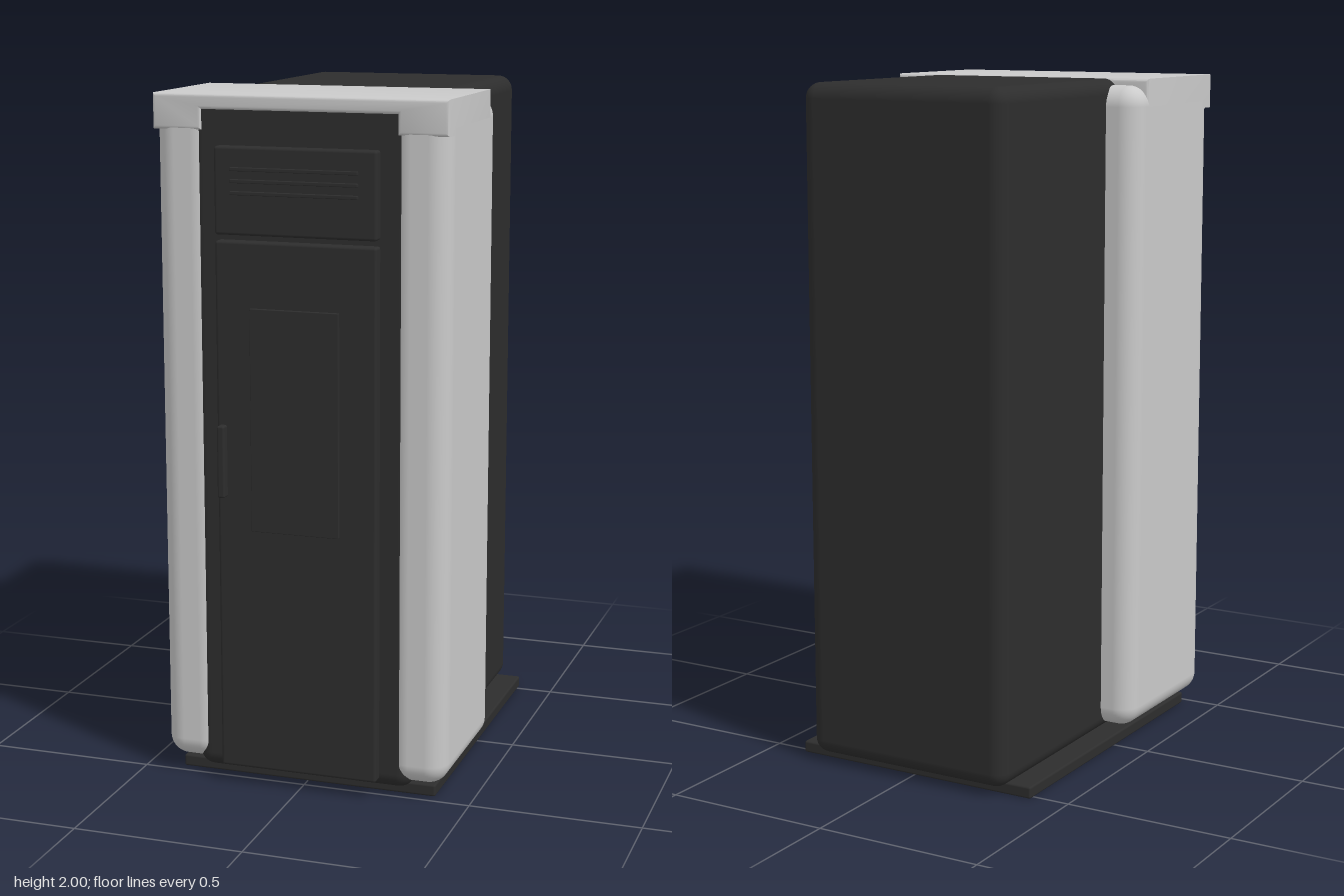
import * as THREE from 'three';
import { RoundedBoxGeometry } from 'three/addons/geometries/RoundedBoxGeometry.js';
import { toCreasedNormals } from 'three/addons/utils/BufferGeometryUtils.js';

export function createModel() {
  const stove = new THREE.Group();
  stove.name = 'stove';
  const black = new THREE.MeshStandardMaterial({ color: 0x2d2d2d });
  black.name = 'black steel';
  const grey = new THREE.MeshStandardMaterial({ color: 0xcacaca });
  grey.name = 'light grey enamel';

  // Rounded box given by its extents on each axis
  function box(name, material, [x0, x1], [y0, y1], [z0, z1], radius, segments = 3) {
    const geometry = new RoundedBoxGeometry(x1 - x0, y1 - y0, z1 - z0, segments, radius);
    const mesh = new THREE.Mesh(geometry, material);
    mesh.position.set((x0 + x1) / 2, (y0 + y1) / 2, (z0 + z1) / 2);
    mesh.name = name;
    stove.add(mesh);
    return mesh;
  }

  // Base plate and main body
  box('basePlate', black, [-0.39, 0.39], [0, 0.035], [-0.523, 0.47], 0.006);
  box('body', black, [-0.33, 0.33], [0.025, 1.998], [-0.575, 0.515], 0.045, 5);

  // Rounded side panels, mirrored
  for (const [name, side] of [['leftSidePanel', 1], ['rightSidePanel', -1]]) {
    const xs = [0.26 * side, 0.43 * side].sort((a, b) => a - b);
    box(name, grey, xs, [0.045, 1.98], [0.018, 0.52], 0.06, 6);
  }

  // Top cap: an upside-down U with short cheeks either side of the front
  const cap = new THREE.Shape([
    [-0.43, 1.9], [-0.285, 1.9], [-0.285, 1.957], [0.285, 1.957],
    [0.285, 1.9], [0.43, 1.9], [0.43, 2], [-0.43, 2],
  ].map(([x, y]) => new THREE.Vector2(x, y)));
  const bevel = 0.01;
  const capGeometry = new THREE.ExtrudeGeometry(cap, {
    depth: 0.432 - 2 * bevel, bevelEnabled: true, bevelSize: bevel,
    bevelThickness: bevel, bevelOffset: -bevel, bevelSegments: 3,
  });
  capGeometry.translate(0, 0, 0.09 + bevel);
  const capMesh = new THREE.Mesh(toCreasedNormals(capGeometry, 0.6), grey);
  capMesh.name = 'topCap';
  stove.add(capMesh);

  // Front: vent panel with three louvres
  box('ventPanel', black, [-0.238, 0.235], [1.615, 1.86], [0.5, 0.549], 0.008);
  for (const y of [1.733, 1.766, 1.799]) {
    box('ventLouvre', black, [-0.188, 0.183], [y - 0.005, y + 0.005], [0.54, 0.56], 0.002, 1);
  }

  // Front: door with window and handle
  box('door', black, [-0.238, 0.235], [0.052, 1.598], [0.5, 0.549], 0.008);
  box('doorWindow', black, [-0.133, 0.128], [0.772, 1.413], [0.54, 0.56], 0.002, 1);
  box('doorHandle', black, [-0.23, -0.208], [0.866, 1.075], [0.54, 0.575], 0.006);

  return stove;
}
